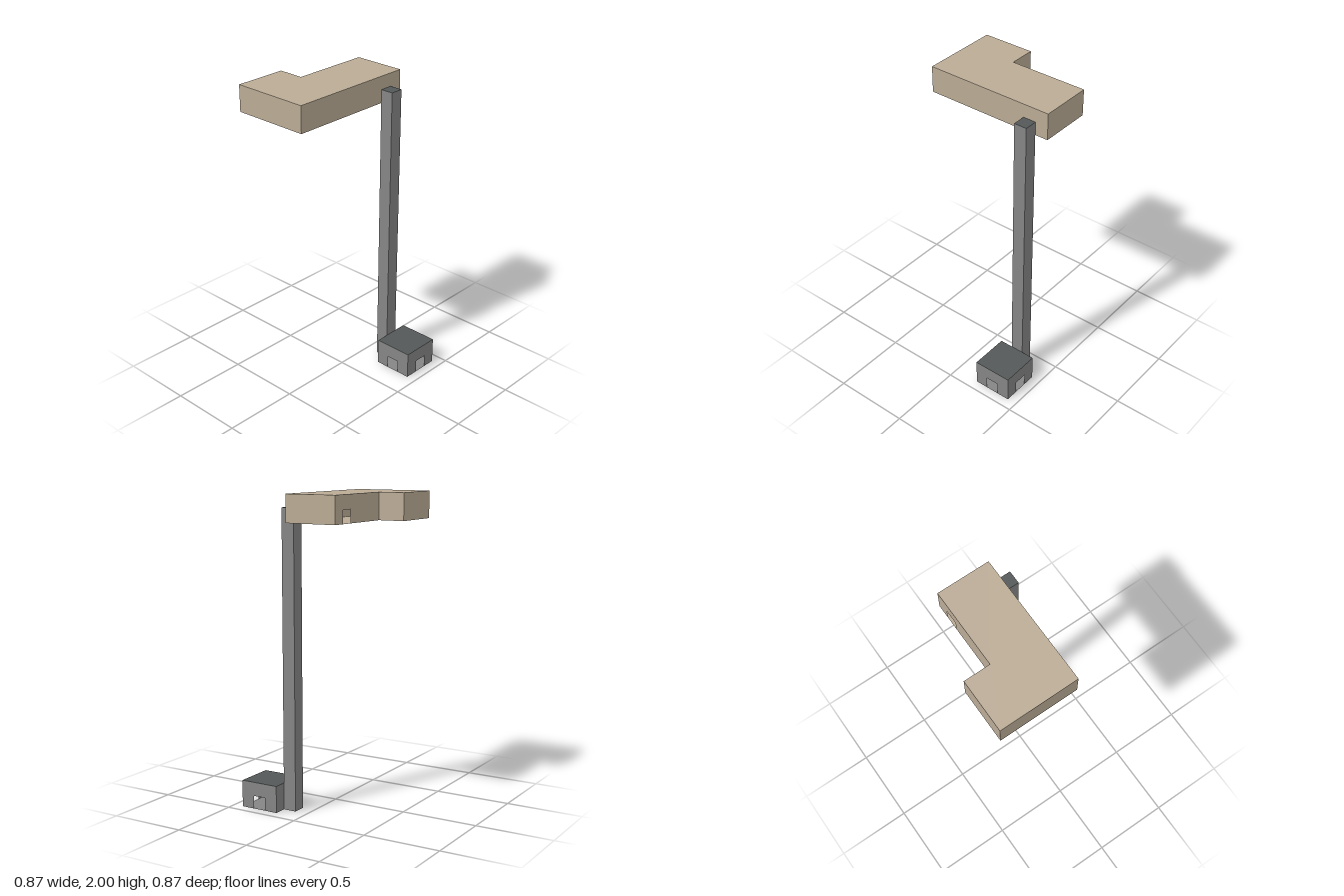
import * as THREE from 'three';

const CELL = 2 / 23; // the whole building sits on a grid of cubic cells

const paint = (name, color) => {
  const m = new THREE.MeshStandardMaterial({ color, side: THREE.DoubleSide });
  m.name = name;
  return m;
};

// Hollow room with thin walls. The outline lists [x, z] corners in cells,
// starting along the front; doors maps a wall number to its opening's offset.
function room(name, outline, y, height, doors, wallMat, roofMat) {
  const group = new THREE.Group();
  group.name = name;
  const add = (part, geometry, material) => {
    const mesh = new THREE.Mesh(geometry, material);
    mesh.name = part;
    group.add(mesh);
    return mesh;
  };

  // Floor and roof share the outline
  const plan = new THREE.Shape(outline.map(([x, z]) => new THREE.Vector2(x, -z)));
  const slab = new THREE.ShapeGeometry(plan).rotateX(-Math.PI / 2);
  add('floor', slab, wallMat);
  add('roof', slab, roofMat).position.y = height;

  // One upright panel per outline edge, notched where there is a doorway
  outline.forEach(([x, z], i) => {
    const [nx, nz] = outline[(i + 1) % outline.length];
    const length = Math.hypot(nx - x, nz - z);
    const shape = new THREE.Shape().moveTo(0, 0);
    if (doors[i] !== undefined) {
      const d = doors[i];
      shape.lineTo(d, 0).lineTo(d, 0.97).lineTo(d + 1, 0.97).lineTo(d + 1, 0);
    }
    shape.lineTo(length, 0).lineTo(length, height).lineTo(0, height);
    const wall = add('wall', new THREE.ShapeGeometry(shape), wallMat);
    wall.position.set(x, 0, z);
    wall.rotation.y = Math.atan2(z - nz, nx - x);
  });

  group.position.y = y * CELL;
  group.scale.setScalar(CELL);
  return group;
}

export function createModel() {
  const stone = paint('stone grey', 0x858585);
  const slate = paint('dark slate', 0x545859);
  const sand = paint('sand', 0xbaab95);

  const model = new THREE.Group();
  model.name = 'towerHouse';

  // Small entrance hut with doorways on every side
  model.add(room('entranceHut', [[2, -2], [5, -2], [5, -5], [2, -5]],
    0, 2, { 0: 1, 1: 1, 2: 1, 3: 1 }, stone, slate));

  // Tall narrow shaft
  model.add(room('shaft', [[1, -3], [2, -3], [2, -4], [1, -4]],
    0, 22, {}, stone, slate));

  // L-shaped upper house, with a doorway to the shaft and one opposite
  model.add(room('upperHouse', [[-5, 5], [1, 5], [1, -5], [-3, -5], [-3, 1], [-5, 1]],
    21, 2, { 1: 8, 3: 1 }, sand, sand));

  return model;
}
